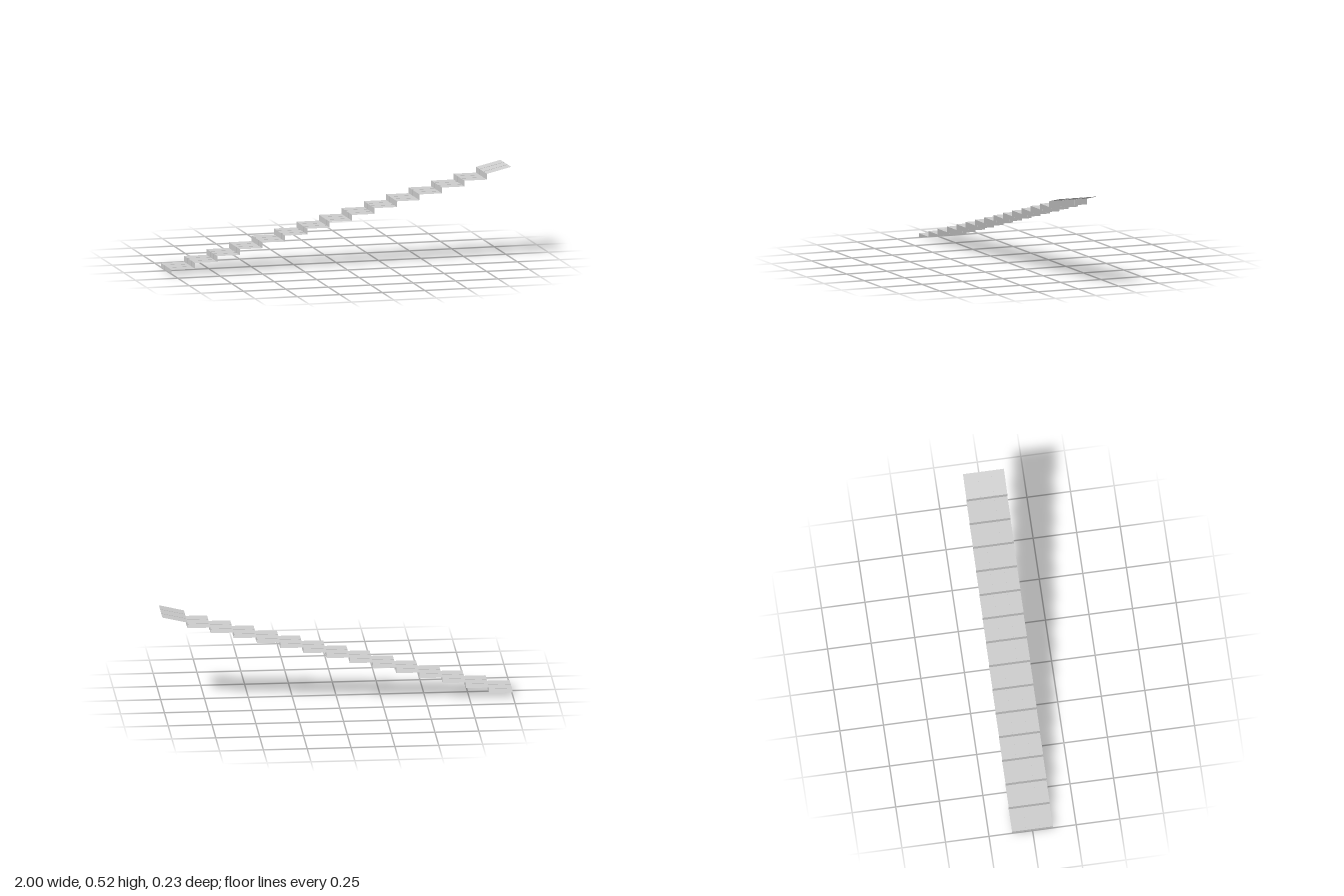
import * as THREE from 'three';

const STEPS = 15, RISE = 0.0333, RUN = 0.1323;
const HALF = 0.1175, GROOVE = 0.04, GROOVE_HALF = 0.003, DEPTH = 0.002;

// Side profile of the folded sheet, running from the foot to the sloped landing.
// "sink" moves it down and back to form the floor of a groove.
function profile(sink) {
  const points = [];
  for (let i = 0; i < STEPS; i++) {
    const x = i === 0 ? -1 : -0.995 + i * RUN;
    const y = 0.025 + i * RISE;
    points.push([x + sink, i === 0 ? 0 : y - RISE - sink]);
    points.push([x + sink, y - sink]);
  }
  points.push([1, 0.525 - sink]);
  return points;
}

// Flat-shaded sheet through cross-section stations [z, sink], ordered from +z to -z.
function sheet(name, stations, material) {
  const rows = stations.map(([z, sink]) => profile(sink).map(([x, y]) => [x, y, z]));
  const positions = [];
  for (let r = 0; r < rows.length - 1; r++) {
    for (let i = 0; i < rows[r].length - 1; i++) {
      const a = rows[r][i], b = rows[r][i + 1];
      const c = rows[r + 1][i + 1], d = rows[r + 1][i];
      positions.push(...a, ...b, ...c, ...a, ...c, ...d);
    }
  }
  const geometry = new THREE.BufferGeometry();
  geometry.setAttribute('position', new THREE.Float32BufferAttribute(positions, 3));
  geometry.computeVertexNormals();
  const mesh = new THREE.Mesh(geometry, material);
  mesh.name = name;
  return mesh;
}

export function createModel() {
  const group = new THREE.Group();
  group.name = 'staircase';
  const material = new THREE.MeshStandardMaterial({
    color: 0xcccccc, flatShading: true, side: THREE.DoubleSide,
  });

  // Three stepped strips side by side
  const inner = GROOVE - GROOVE_HALF, outer = GROOVE + GROOVE_HALF;
  group.add(sheet('frontStrip', [[HALF, 0], [outer, 0]], material));
  group.add(sheet('middleStrip', [[inner, 0], [-inner, 0]], material));
  group.add(sheet('backStrip', [[-outer, 0], [-HALF, 0]], material));

  // Shallow grooves between the strips
  for (const [name, z] of [['frontGroove', GROOVE], ['backGroove', -GROOVE]]) {
    const a = z + GROOVE_HALF, b = z - GROOVE_HALF;
    group.add(sheet(name, [[a, 0], [a, DEPTH], [b, DEPTH], [b, 0]], material));
  }
  return group;
}
